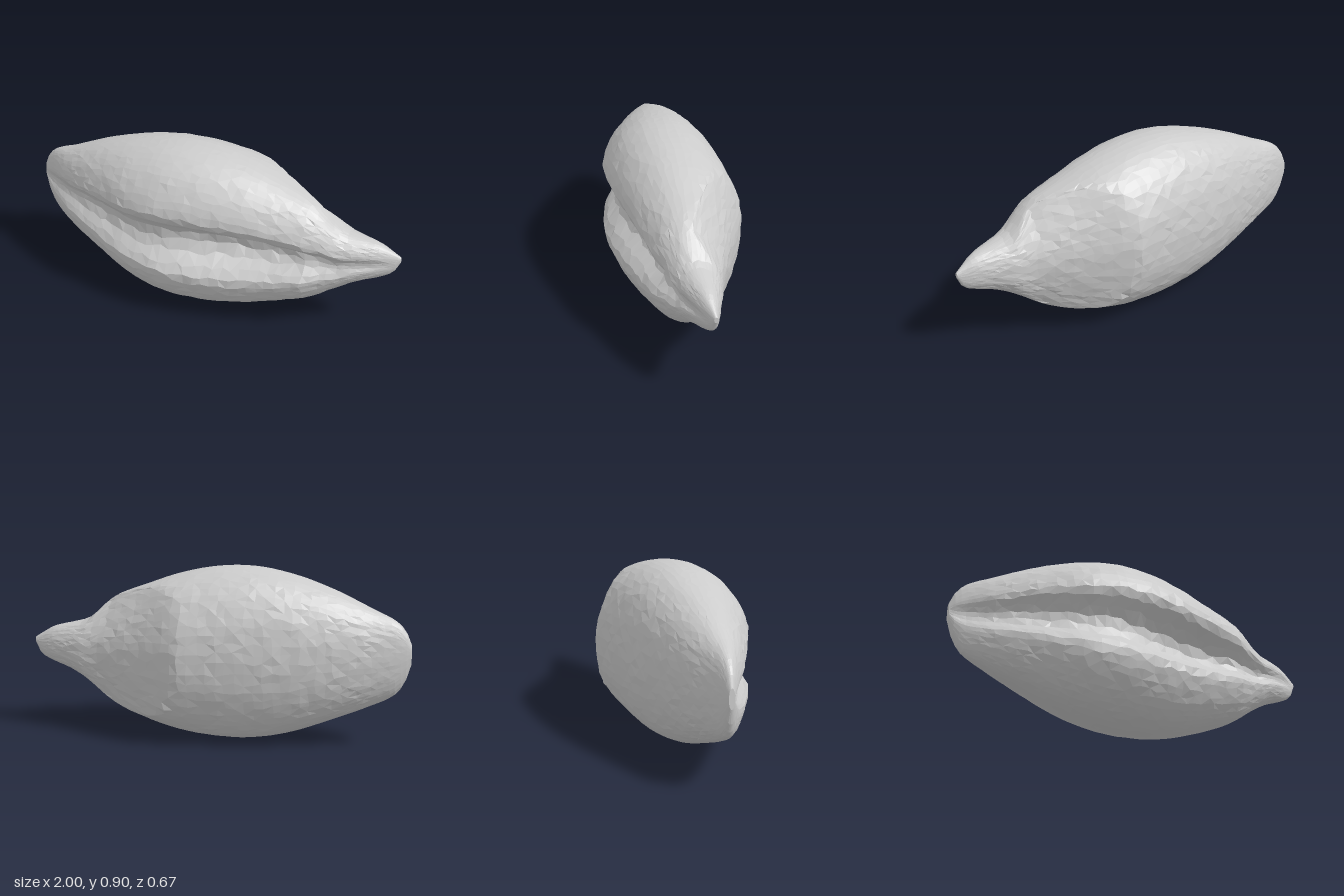
import * as THREE from 'three';

// Cross-sections along the grain:
// x, top, bottom, back z, front z, z of the widest line, crease depth
const SECTIONS = [
  [-1.0, 0.54, 0.44, -0.06, -0.03, -0.045, 0.0],
  [-0.98, 0.59, 0.37, -0.07, -0.01, -0.04, 0.01],
  [-0.93, 0.65, 0.285, -0.09, 0.025, -0.03, 0.025],
  [-0.8, 0.71, 0.21, -0.135, 0.11, -0.01, 0.055],
  [-0.6, 0.80, 0.125, -0.205, 0.21, 0.0, 0.09],
  [-0.4, 0.865, 0.05, -0.26, 0.295, 0.01, 0.11],
  [-0.2, 0.903, 0.008, -0.295, 0.33, 0.015, 0.125],
  [0.0, 0.90, 0.006, -0.317, 0.313, 0.015, 0.15],
  [0.2, 0.86, 0.035, -0.335, 0.278, 0.015, 0.16],
  [0.4, 0.79, 0.10, -0.33, 0.24, 0.02, 0.135],
  [0.55, 0.73, 0.16, -0.27, 0.21, 0.03, 0.09],
  [0.61, 0.685, 0.195, -0.2, 0.18, 0.04, 0.07],
  [0.7, 0.605, 0.26, -0.12, 0.15, 0.035, 0.045],
  [0.8, 0.575, 0.32, -0.075, 0.115, 0.025, 0.025],
  [0.9, 0.55, 0.36, -0.045, 0.07, 0.015, 0.01],
  [0.97, 0.51, 0.40, -0.02, 0.03, 0.005, 0.0],
  [1.0, 0.49, 0.46, -0.01, 0.01, 0.0, 0.0],
];

// Back face of the germ, cut at a slant: x, z
const GERM = [[0.12, -0.345], [0.2, -0.315], [0.4, -0.22], [0.6, -0.135], [0.7, -0.105], [0.9, -0.045], [1, -0.01]];

// Smooth interpolation of a table row at x
function sample(table, x) {
  const last = table.length - 1;
  let i = 0;
  while (i < last - 1 && x > table[i + 1][0]) i++;
  const h = table[i + 1][0] - table[i][0];
  const t = THREE.MathUtils.clamp((x - table[i][0]) / h, 0, 1);
  const slope = (n, k) => {
    const a = table[Math.max(n - 1, 0)], b = table[Math.min(n + 1, last)];
    return (b[k] - a[k]) / (b[0] - a[0]);
  };
  return table[i].map((v, k) => {
    const w = table[i + 1][k];
    const ease = t * t * (3 - 2 * t);
    return v + (w - v) * ease + h * t * (1 - t) * ((1 - t) * slope(i, k) - t * slope(i + 1, k));
  });
}

// Repeatable noise in -1..1
function noise(a, b) {
  const s = Math.sin(a * 127.1 + b * 311.7) * 43758.5453;
  return (s - Math.floor(s)) * 2 - 1;
}

// Surface point at station x and angle a (0 = front, PI/2 = top)
function surfacePoint(x, a) {
  const [, top, bottom, back, front, mid, crease] = sample(SECTIONS, x);
  const round = (v) => Math.sign(v) * Math.abs(v) ** 0.94;
  const v = round(Math.sin(a));
  const c = round(Math.cos(a));
  const y = (top + bottom) / 2 + (v * (top - bottom)) / 2;
  let z = mid + c * (c > 0 ? (front - mid) * (1 + 0.8 * crease) : mid - back);
  if (c > 0) {
    // Broad crease between two rounded lips
    z -= crease * Math.exp(-(Math.abs((v - 0.03) / 0.26) ** 2.8));
  } else if (x > 0.12) {
    // Germ face, sunk further towards its upper rim
    const fade = THREE.MathUtils.clamp((0.78 - x) / 0.2, 0, 1);
    const sunk = (v > 0 ? 0.17 : 0.08) * v * v * fade;
    z = Math.max(z, Math.min(mid, sample(GERM, x)[1] + sunk));
  }
  return [y, z];
}

function grainGeometry(rings, sides) {
  const pos = [];
  const index = [];
  for (let i = 0; i <= rings; i++) {
    const u = (i / rings) * 2 - 1;
    const x = 0.6 * u + 0.4 * Math.sin((u * Math.PI) / 2);
    // Surface roughness, fading out at the tips
    const rough = THREE.MathUtils.clamp((1 - Math.abs(x)) * 4, 0, 1);
    for (let j = 0; j < sides; j++) {
      const px = x + rough * 0.009 * noise(i, j);
      const a = ((j + rough * 0.22 * noise(i + 50, j)) / sides) * Math.PI * 2;
      const [y, z] = surfacePoint(px, a);
      pos.push(px, y, z + rough * 0.003 * noise(i, j + 90));
    }
  }
  for (let i = 0; i < rings; i++) {
    for (let j = 0; j < sides; j++) {
      const k = (j + 1) % sides;
      const a = i * sides + j, b = a + sides, c = i * sides + k, d = c + sides;
      if ((i + j) % 2) index.push(a, b, c, b, d, c);
      else index.push(a, b, d, a, d, c);
    }
  }
  // Close both ends
  const tail = (rings + 1) * sides;
  pos.push(-1, 0.49, -0.045, 1, 0.475, 0);
  for (let j = 0; j < sides; j++) {
    const k = (j + 1) % sides;
    index.push(tail, j, k, tail + 1, rings * sides + k, rings * sides + j);
  }
  const g = new THREE.BufferGeometry();
  g.setAttribute('position', new THREE.Float32BufferAttribute(pos, 3));
  g.setIndex(index);
  g.computeVertexNormals();
  return g;
}

export function createModel() {
  const group = new THREE.Group();
  group.name = 'grain';
  const kernel = new THREE.Mesh(
    grainGeometry(52, 60),
    new THREE.MeshStandardMaterial({ color: 0xcccccc, flatShading: true })
  );
  kernel.name = 'kernel';
  group.add(kernel);
  return group;
}
